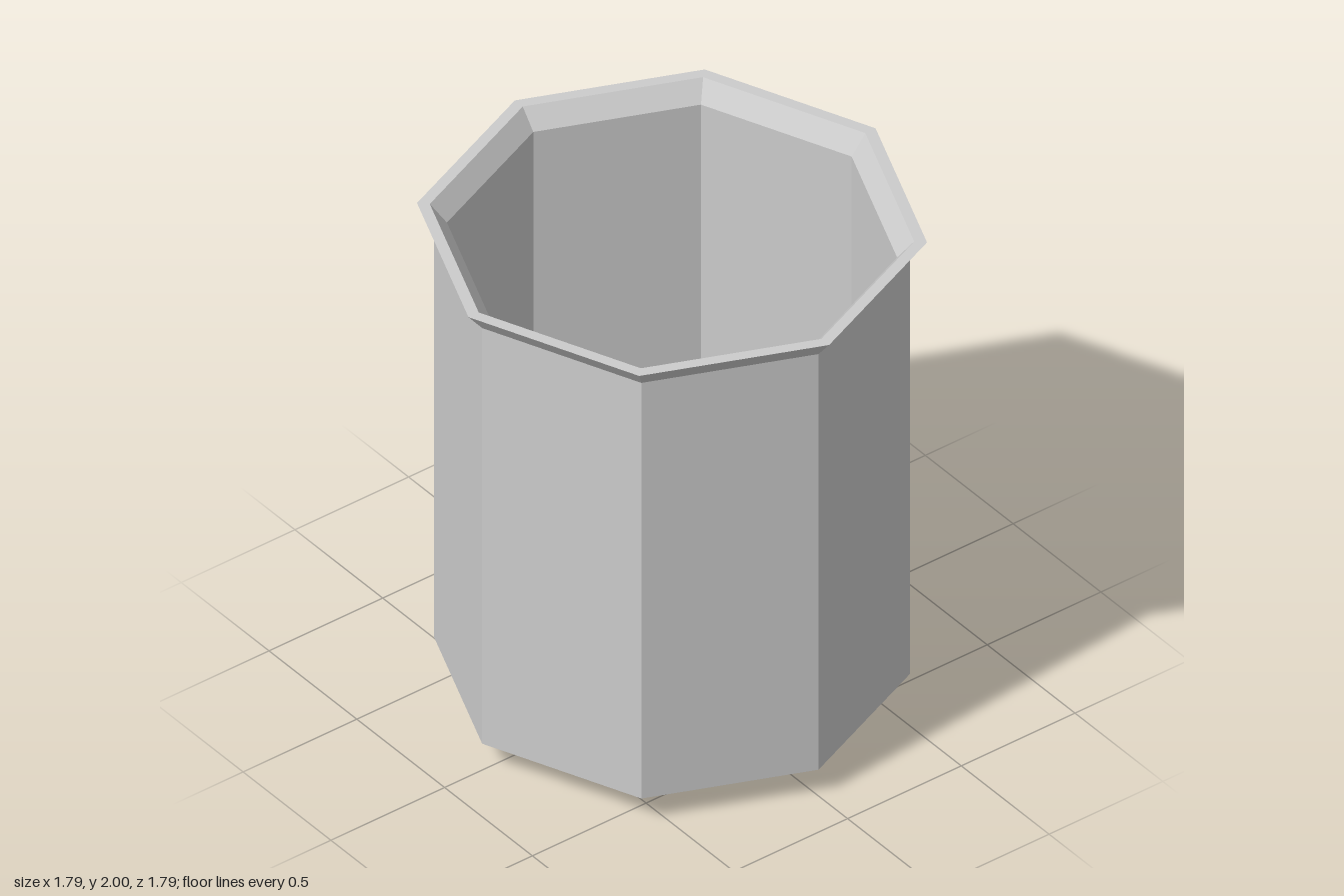
import * as THREE from 'three';

const SIDES = 8;

export function createModel() {
  const group = new THREE.Group();
  group.name = 'octagonalPot';
  const material = new THREE.MeshStandardMaterial({ color: 0xcccccc, flatShading: true });

  // Revolve a radius/height profile into an eight-sided part
  const addPart = (name, profile) => {
    const points = profile.map(([r, y]) => new THREE.Vector2(r, y));
    const mesh = new THREE.Mesh(new THREE.LatheGeometry(points, SIDES), material);
    mesh.name = name;
    group.add(mesh);
  };

  // Outside: base, bevelled foot and straight wall
  addPart('outerBody', [[0, 0], [0.675, 0], [0.835, 0.115], [0.835, 1.925]]);

  // Flared lip with a flat top edge
  addPart('flaredRim', [[0.835, 1.925], [0.895, 2], [0.85, 2], [0.79, 1.925]]);

  // Inside: wall, sloped lower band and floor
  addPart('innerBody', [[0.79, 1.925], [0.79, 0.16], [0.61, 0.045], [0, 0.045]]);

  return group;
}
